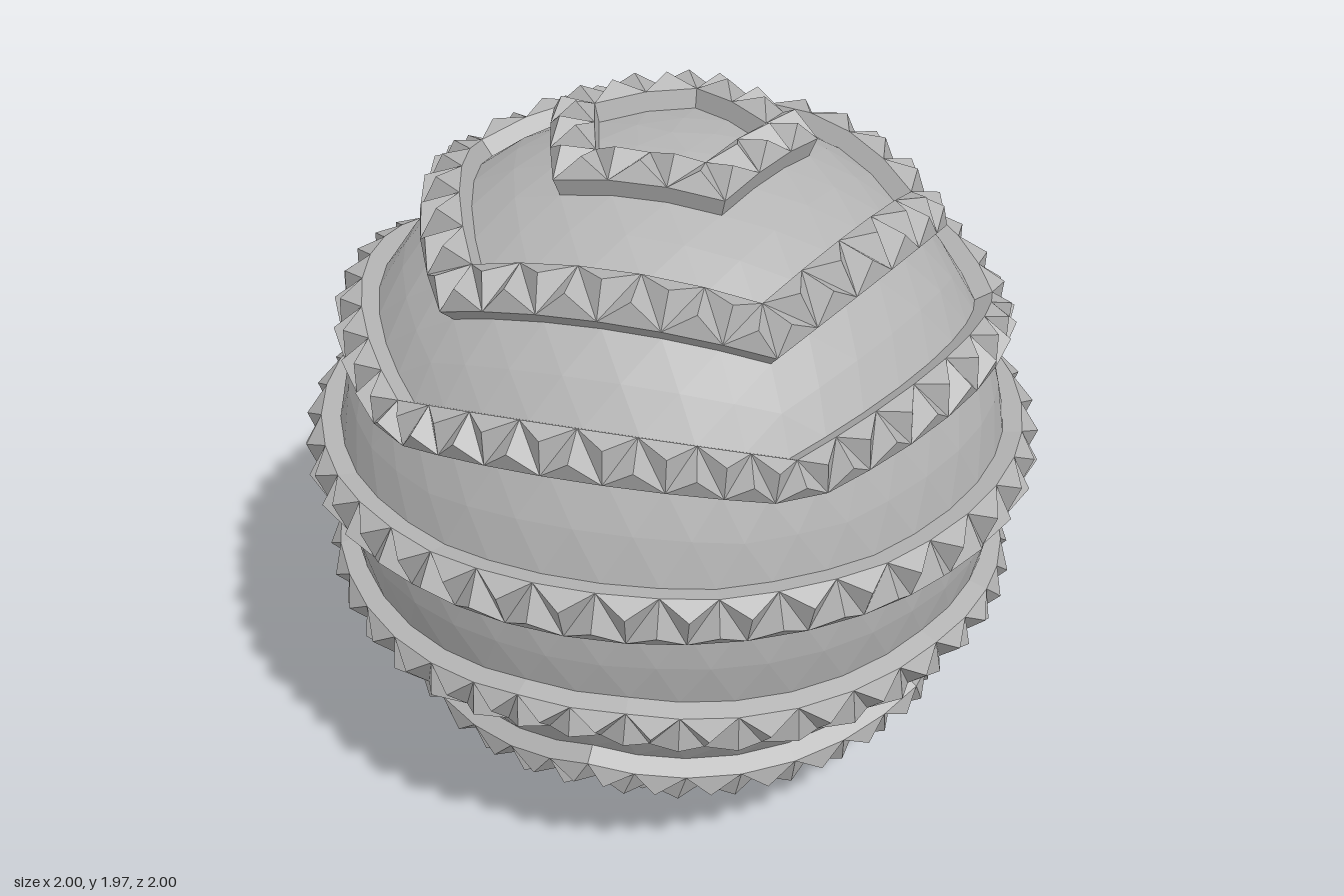
import * as THREE from 'three';

const N = 8;             // subdivisions per icosahedron edge
const R = 0.91;          // sphere radius
const R_WALL = 0.962;    // top of the band walls
const R_TIP = 1.002;     // tips of the studs
const CENTER_Y = 1.003;

const material = new THREE.MeshStandardMaterial({ color: 0xb4b4b4, flatShading: true });
material.name = 'plain grey';

// Icosahedron corner by latitude ring and angle in steps of 36 degrees
function corner(y, step) {
  const a = step * Math.PI / 5;
  const r = Math.sqrt(1 - y * y);
  return new THREE.Vector3(r * Math.cos(a), y, r * Math.sin(a));
}

// Faces as apex, base corners, and the rule giving the latitude row (0 = bottom)
function icosahedronFaces() {
  const h = 1 / Math.sqrt(5);
  const north = corner(1, 0), south = corner(-1, 0);
  const upper = s => corner(h, 2 * s);
  const lower = s => corner(-h, 2 * s + 1);
  const faces = [];
  for (let s = 0; s < 5; s++) {
    faces.push(
      { a: north, b: upper(s + 1), c: upper(s), row: i => 3 * N - 1 - i },
      { a: upper(s), b: lower(s), c: lower(s - 1), row: i => 2 * N - 1 - i },
      { a: lower(s), b: upper(s), c: upper(s + 1), row: i => N + i },
      { a: south, b: lower(s), c: lower(s + 1), row: i => i }
    );
  }
  return faces;
}

function makeMesh(points, name) {
  const geometry = new THREE.BufferGeometry().setFromPoints(points);
  geometry.computeVertexNormals();
  const mesh = new THREE.Mesh(geometry, material);
  mesh.name = name;
  return mesh;
}

export function createModel() {
  const sphere = [];
  const bands = new Map();
  const at = (v, r) => v.clone().multiplyScalar(r);

  // Each triangle has one edge (b-c) lying along its latitude row
  function addTriangle(a, b, c, row) {
    sphere.push(at(a, R), at(b, R), at(c, R));
    if (row % 3 !== 0) return;
    if (!bands.has(row)) bands.set(row, []);
    const out = bands.get(row);
    // Wall along the row edge
    const b0 = at(b, R), c0 = at(c, R);
    const [a1, b1, c1] = [a, b, c].map(v => at(v, R_WALL));
    out.push(b0, c0, c1, b0, c1, b1);
    // Three-sided stud on top
    const tip = a.clone().add(b).add(c).setLength(R_TIP);
    out.push(a1, b1, tip, b1, c1, tip, c1, a1, tip);
  }

  for (const { a, b, c, row } of icosahedronFaces()) {
    const point = (i, j) => a.clone()
      .addScaledVector(b.clone().sub(a), i / N)
      .addScaledVector(c.clone().sub(b), j / N)
      .normalize();
    for (let i = 0; i < N; i++) {
      for (let j = 0; j <= i; j++) {
        addTriangle(point(i, j), point(i + 1, j), point(i + 1, j + 1), row(i));
        if (j < i) addTriangle(point(i + 1, j + 1), point(i, j + 1), point(i, j), row(i));
      }
    }
  }

  const group = new THREE.Group();
  group.name = 'studdedSphere';
  const body = new THREE.Group();
  body.position.y = CENTER_Y;
  body.name = 'body';
  body.add(makeMesh(sphere, 'sphere'));
  for (const [row, points] of bands) {
    body.add(makeMesh(points, row === 0 ? 'bottomCap' : `studdedBand${row / 3}`));
  }
  group.add(body);
  return group;
}
